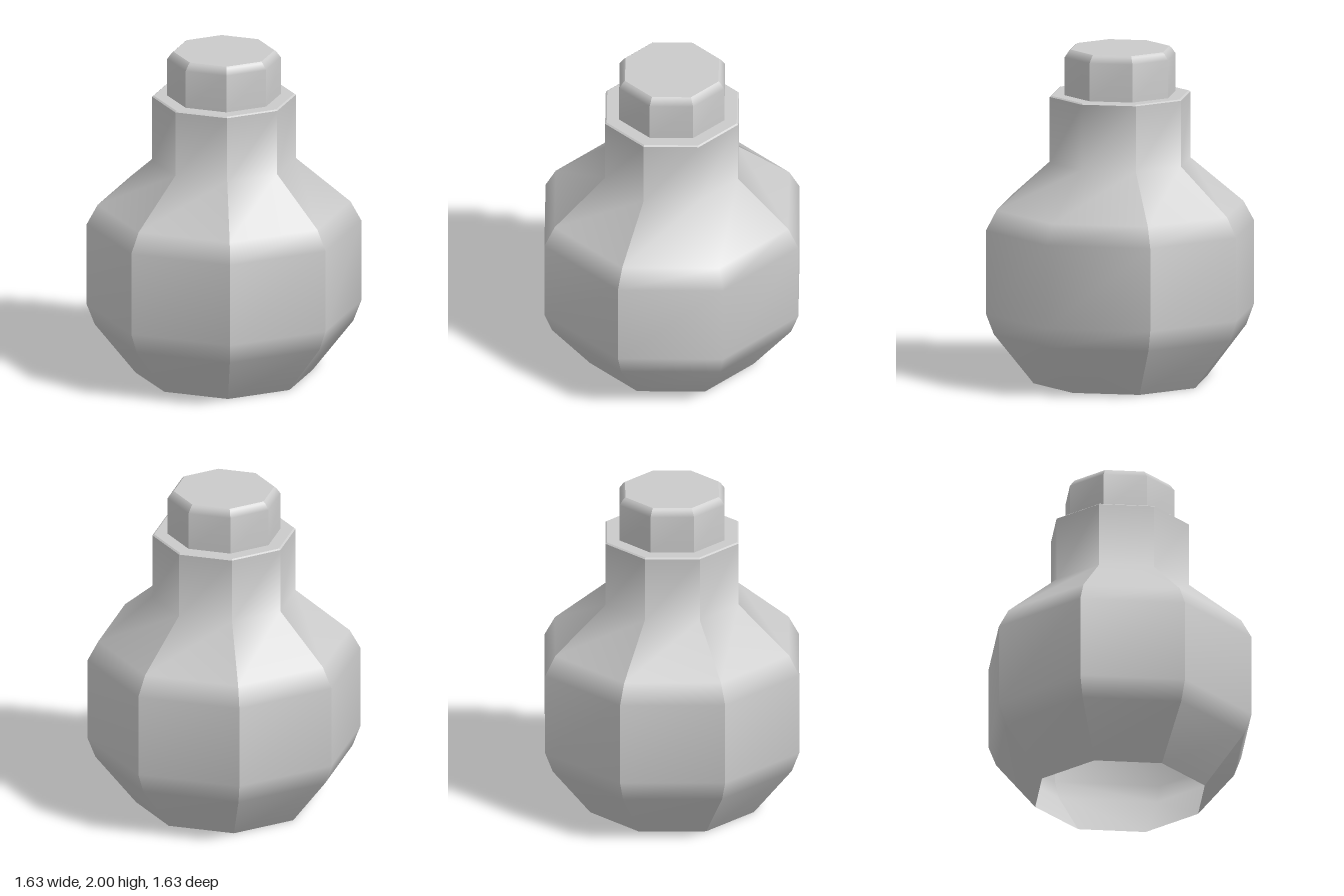
import * as THREE from 'three';
import { mergeGeometries } from 'three/addons/utils/BufferGeometryUtils.js';

const SIDES = 8;
const material = new THREE.MeshStandardMaterial({ color: 0xcccccc, side: THREE.DoubleSide });

// A strip of facets following the profile [radius, y], smooth within itself
function strip(profile, start, count) {
  const rows = profile.length;
  const positions = [];
  const index = [];
  for (let i = 0; i <= count; i++) {
    const angle = ((start + i) / SIDES) * Math.PI * 2;
    for (const [r, y] of profile) positions.push(r * Math.sin(angle), y, r * Math.cos(angle));
  }
  for (let i = 0; i < count; i++) {
    for (let j = 0; j < rows - 1; j++) {
      const a = i * rows + j;
      const b = a + rows;
      index.push(a, b, b + 1, a, b + 1, a + 1);
    }
  }
  const geometry = new THREE.BufferGeometry();
  geometry.setAttribute('position', new THREE.Float32BufferAttribute(positions, 3));
  geometry.setIndex(index);
  geometry.computeVertexNormals();
  return geometry;
}

// Octagonal wall: creased between strips, each strip spanning the given number of sides
function wall(name, profile, spans) {
  let start = 0;
  const strips = spans.map((count) => {
    const geometry = strip(profile, start, count);
    start += count;
    return geometry;
  });
  const mesh = new THREE.Mesh(mergeGeometries(strips), material);
  mesh.name = name;
  return mesh;
}

// Flat octagon facing up
function disc(name, radius, y) {
  const geometry = new THREE.CircleGeometry(radius, SIDES).rotateX(-Math.PI / 2);
  const mesh = new THREE.Mesh(geometry, material);
  mesh.name = name;
  mesh.position.y = y;
  return mesh;
}

export function createModel() {
  const model = new THREE.Group();
  model.name = 'bottle';

  // Body and neck, open underneath; the front left corner is smooth
  const bodyProfile = [
    [0.525, 0], [0.767, 0.305], [0.815, 0.43], [0.815, 0.93],
    [0.75, 1.05], [0.427, 1.325], [0.427, 1.72],
  ];
  model.add(wall('body', bodyProfile, [2, 1, 1, 1, 1, 1, 1]));

  // Narrow bevel and flat rim on top of the neck
  const single = Array(SIDES).fill(1);
  model.add(wall('neckBevel', [[0.427, 1.72], [0.417, 1.727]], single));
  model.add(disc('neckRim', 0.417, 1.727));

  // Stopper with a bevelled top edge
  const stopper = new THREE.Group();
  stopper.name = 'stopper';
  const stopperProfile = [[0.337, 1.72], [0.337, 1.955], [0.312, 1.99], [0.3, 2]];
  stopper.add(wall('stopperSide', stopperProfile, single));
  stopper.add(disc('stopperTop', 0.3, 2));
  model.add(stopper);

  return model;
}
